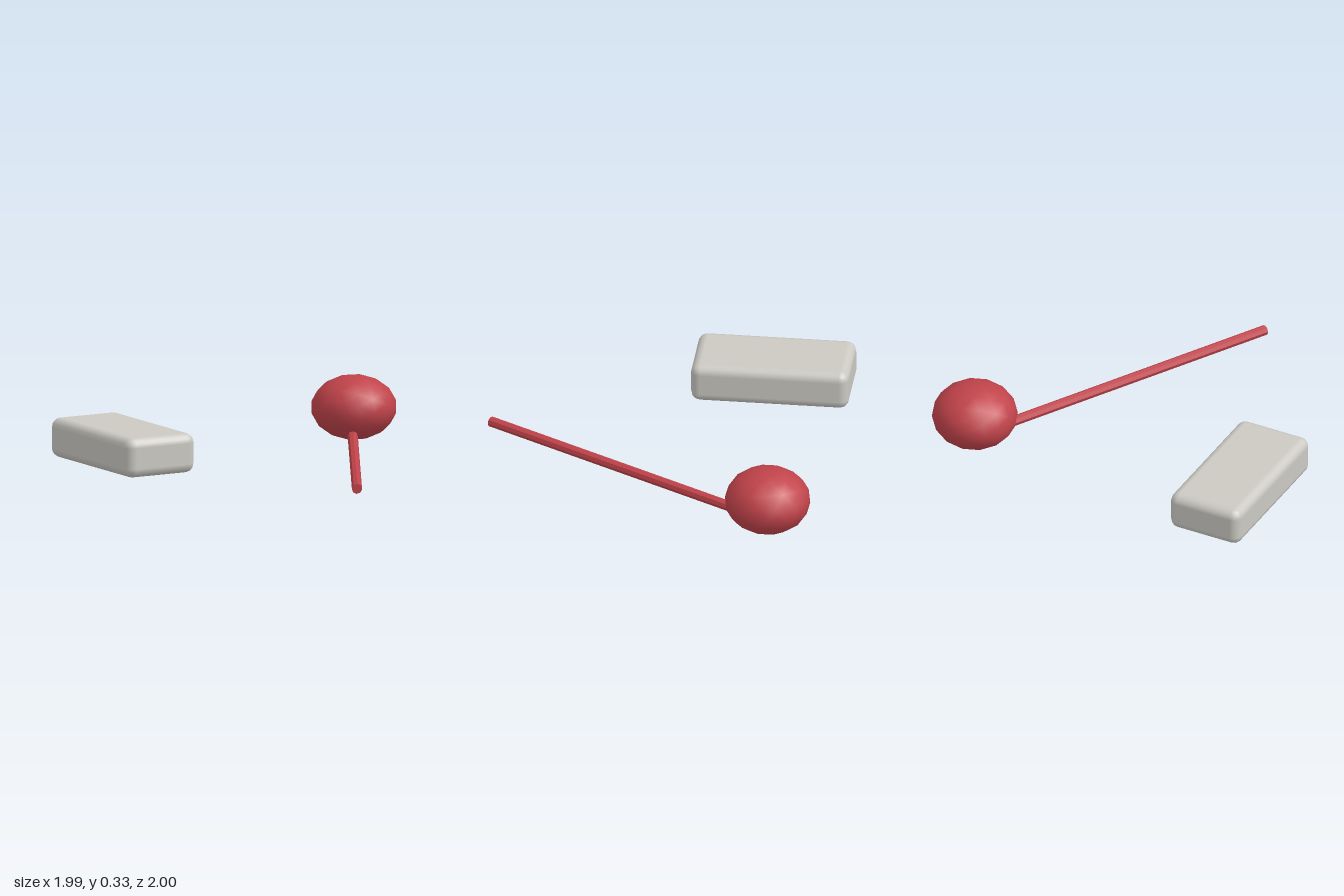
import * as THREE from 'three';
import { RoundedBoxGeometry } from 'three/addons/geometries/RoundedBoxGeometry.js';

export function createModel() {
  const model = new THREE.Group();
  model.name = 'ballStickAndBlock';

  const red = new THREE.MeshStandardMaterial({ color: 0xc0434a });
  red.name = 'red';
  const paleGrey = new THREE.MeshStandardMaterial({ color: 0xcbc9c2 });
  paleGrey.name = 'paleGrey';

  const add = (name, geometry, material) => {
    const mesh = new THREE.Mesh(geometry, material);
    mesh.name = name;
    model.add(mesh);
    return mesh;
  };

  // Flattened ball at the head of the stick
  const ballGeometry = new THREE.IcosahedronGeometry(0.225, 2);
  ballGeometry.scale(1, 0.76, 1);
  add('ball', ballGeometry, red).position.set(0.769, 0.172, -0.182);

  // Faceted stick lying on its side, running diagonally into the ball
  const start = new THREE.Vector3(-0.607, 0.046, 0.98);
  const end = new THREE.Vector3(0.64, 0.046, -0.083);
  const along = end.clone().sub(start);
  const facets = new THREE.CylinderGeometry(0.027, 0.027, along.length(), 8).toNonIndexed();
  facets.computeVertexNormals();
  const stick = add('stick', facets, red);
  stick.position.copy(start).add(end).multiplyScalar(0.5);
  stick.quaternion.setFromUnitVectors(new THREE.Vector3(0, 1, 0), along.normalize());

  // Rounded block, turned away from the stick
  const block = add('block', new RoundedBoxGeometry(0.413, 0.21, 0.831, 2, 0.05), paleGrey);
  block.position.set(-0.675, 0.12, -0.553);
  block.rotation.y = THREE.MathUtils.degToRad(-20);

  return model;
}
